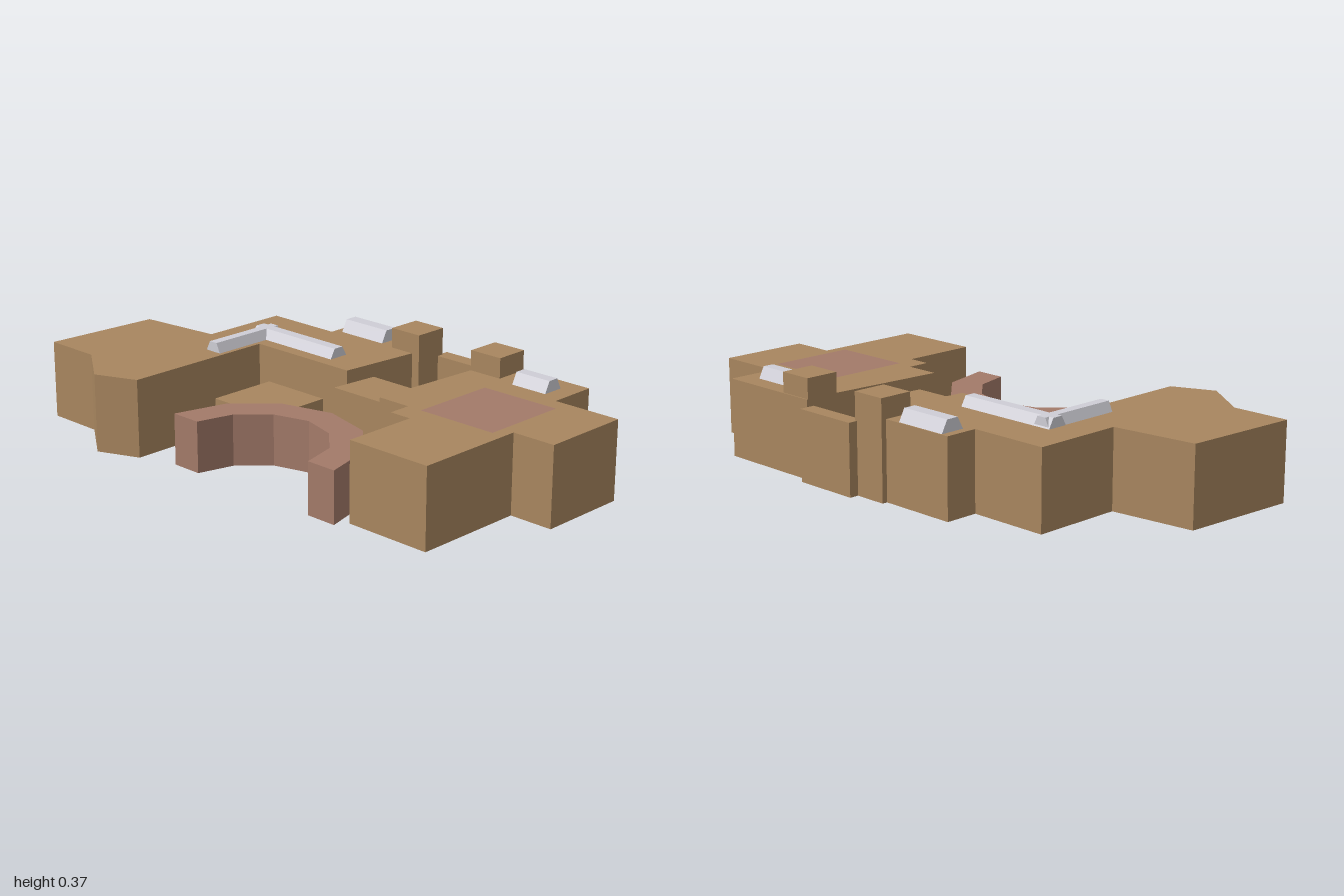
import * as THREE from 'three';

const flat = (name, color) => {
  const m = new THREE.MeshStandardMaterial({ color, side: THREE.DoubleSide });
  m.name = name;
  return m;
};

// Prism standing on y0 from a plan of [x, z] corners; the underside is left open
function openPrism(plan, y0, y1) {
  const shape = new THREE.Shape(plan.map(([x, z]) => new THREE.Vector2(x, -z)));
  const src = new THREE.ExtrudeGeometry(shape, { depth: y1 - y0, bevelEnabled: false });
  const p = src.attributes.position;
  const kept = [];
  for (let i = 0; i < p.count; i += 3) {
    if (p.getZ(i) + p.getZ(i + 1) + p.getZ(i + 2) < 1e-6) continue;
    for (let k = i; k < i + 3; k++) kept.push(p.getX(k), p.getY(k), p.getZ(k));
  }
  const geo = new THREE.BufferGeometry();
  geo.setAttribute('position', new THREE.Float32BufferAttribute(kept, 3));
  geo.rotateX(-Math.PI / 2).translate(0, y0, 0);
  geo.computeVertexNormals();
  return geo;
}

const rect = (x0, x1, z0, z1) => [[x0, z1], [x1, z1], [x1, z0], [x0, z0]];

// Bar with a trapezoid section, running along x
function skylightBar(length, width, height) {
  const w = width / 2, t = w * 0.5;
  const section = new THREE.Shape([[-w, 0], [w, 0], [t, height], [-t, height]].map(([a, b]) => new THREE.Vector2(a, b)));
  return new THREE.ExtrudeGeometry(section, { depth: length, bevelEnabled: false })
    .translate(0, 0, -length / 2)
    .rotateY(Math.PI / 2);
}

export function createModel() {
  const model = new THREE.Group();
  model.name = 'buildingComplex';
  const brown = flat('brown wall', 0xa8865f);
  const red = flat('reddish brown', 0xa37a69);
  const grey = flat('skylight grey', 0xcfced6);
  const ROOF = 0.29;

  const add = (name, geo, mat) => {
    const mesh = new THREE.Mesh(geo, mat);
    mesh.name = name;
    model.add(mesh);
    return mesh;
  };

  // Main wings
  add('rightWing', openPrism([
    [-1, 0.43], [-0.78, 0.43], [-0.595, 0.565], [-0.44, 0.5], [-0.44, -0.09], [0.01, -0.09], [0.04, -0.4],
    [-0.06, -0.4], [-0.06, -0.51], [-0.355, -0.51], [-0.355, -0.385], [-0.655, -0.385], [-0.655, -0.045], [-0.97, -0.01],
  ], 0, ROOF), brown);
  add('leftWing', openPrism([
    [0.29, 0.04], [0.42, 0.04], [0.42, 0.125], [0.505, 0.125], [0.505, 0.41], [0.835, 0.41], [0.835, -0.01],
    [1, -0.01], [1, -0.35], [0.74, -0.35], [0.74, -0.535], [0.32, -0.535], [0.32, -0.4],
  ], 0, ROOF), brown);

  // Lower links between the wings and the low front block
  add('middleLink', openPrism([[0.005, -0.03], [0.293, -0.03], [0.307, -0.215], [0.022, -0.215]], 0, 0.24), brown);
  add('backLink', openPrism(rect(0.065, 0.32, -0.565, -0.505), 0, 0.263), brown);
  add('frontBlock', openPrism(rect(-0.39, -0.11, -0.09, 0.18), 0, 0.155), brown);

  // Small towers
  add('rightTower', openPrism(rect(-0.06, 0.073, -0.53, -0.4), 0, 0.365), brown);
  add('leftTower', openPrism(rect(0.32, 0.453, -0.53, -0.4), ROOF, 0.365), brown);

  // Curved front wall, mirrored about its centre line
  const cx = 0.09;
  const outer = [[0.388, 0.455], [0.337, 0.26], [0.197, 0.12]];
  const inner = [[0.27, 0.455], [0.235, 0.32], [0.135, 0.22]];
  const at = (s) => ([d, z]) => [cx + s * d, z];
  add('curvedWall', openPrism([
    ...outer.map(at(-1)), [cx, 0.067], ...[...outer].reverse().map(at(1)),
    ...inner.map(at(1)), [cx, 0.182], ...[...inner].reverse().map(at(-1)),
  ], 0, 0.19), red);

  // Coloured roof panel
  const panel = new THREE.PlaneGeometry(0.31, 0.33).rotateX(-Math.PI / 2);
  add('roofPanel', panel, red).position.set(0.637, ROOF + 0.002, -0.12);

  // Skylights: name, length, width, height, x, z, turn
  for (const [name, l, w, h, x, z, turn] of [
    ['backSkylight', 0.205, 0.095, 0.045, -0.222, -0.458, 0],
    ['leftSkylight', 0.145, 0.085, 0.042, 0.598, -0.423, 0],
    ['longSkylight', 0.41, 0.08, 0.036, -0.325, -0.18, 0],
    ['sideSkylight', 0.31, 0.07, 0.036, -0.492, -0.062, Math.PI / 2],
  ]) {
    const bar = add(name, skylightBar(l, w, h), grey);
    bar.position.set(x, ROOF, z);
    bar.rotation.y = turn;
  }
  return model;
}
